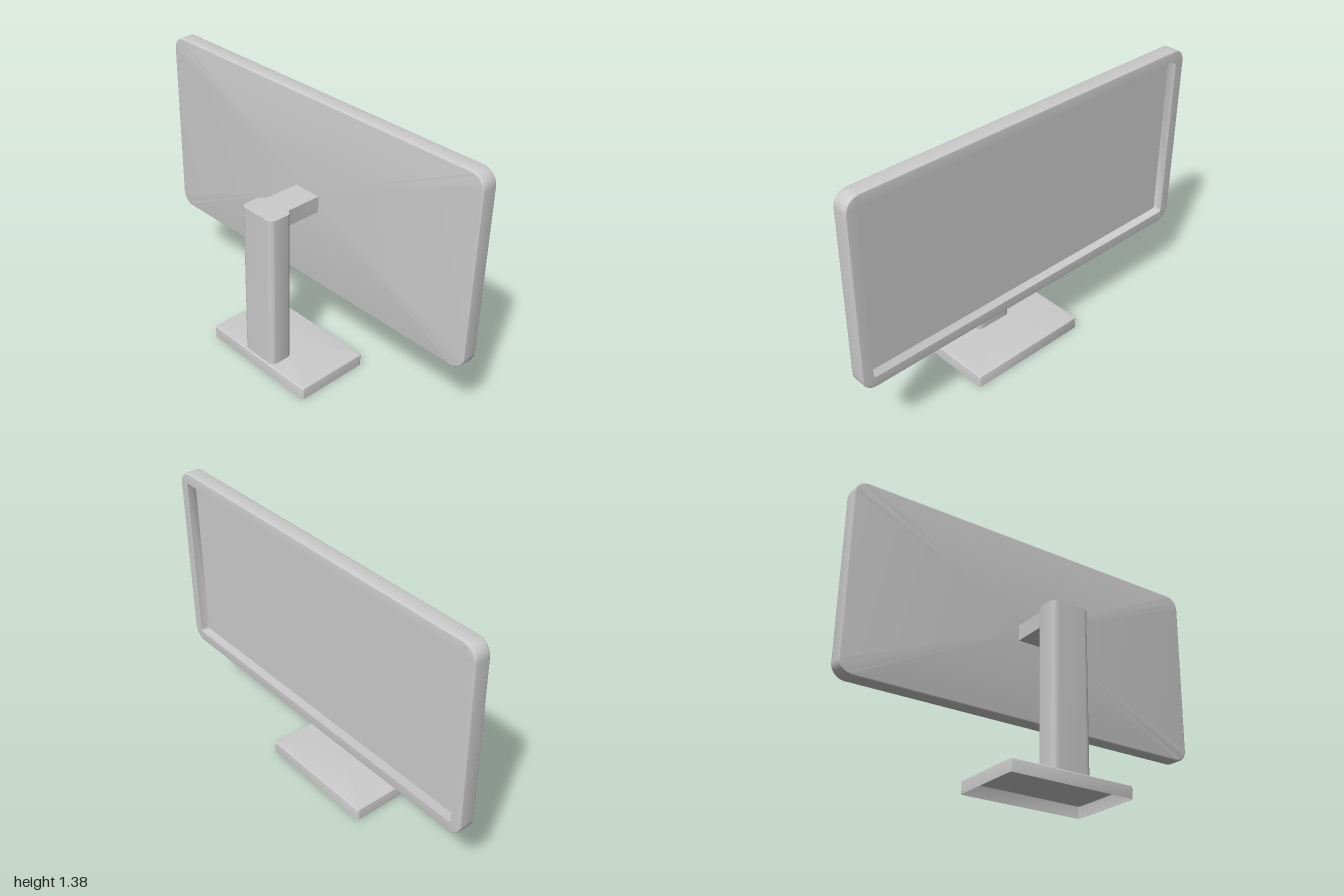
import * as THREE from 'three';
import { toCreasedNormals } from 'three/addons/utils/BufferGeometryUtils.js';

const SEG = 8; // steps per rounded corner

// Rounded rectangle in the xz plane at height y
function ring(w, d, r, y) {
  const pts = [];
  const corners = [[1, 1], [-1, 1], [-1, -1], [1, -1]];
  corners.forEach(([sx, sz], q) => {
    for (let i = 0; i <= SEG; i++) {
      const a = (q + i / SEG) * Math.PI / 2;
      pts.push([sx * (w / 2 - r) + r * Math.cos(a), y, sz * (d / 2 - r) + r * Math.sin(a)]);
    }
  });
  return pts;
}

// Rings rounding an outer edge of radius b, plus one that keeps the face at y flat
function roundedEdge(w, d, r, b, y) {
  const rings = [0, 1, 2, 3].map((k) => {
    const a = k * Math.PI / 6;
    const inset = b * (1 - Math.cos(a));
    return ring(w - 2 * inset, d - 2 * inset, r - inset, y - b * (1 - Math.sin(a)));
  });
  const flat = b + 0.002;
  return [...rings, ring(w - 2 * flat, d - 2 * flat, r - flat, y)];
}

// Skin a stack of rings, closing the last one and optionally the first
function loft(rings, closeStart = true) {
  const n = rings[0].length;
  const pos = rings.flat(2);
  const idx = [];
  for (let k = 0; k < rings.length - 1; k++) {
    for (let i = 0; i < n; i++) {
      const j = (i + 1) % n, a = k * n, b = a + n;
      idx.push(a + i, b + i, a + j, a + j, b + i, b + j);
    }
  }
  const cap = (k, up) => {
    const c = pos.length / 3;
    pos.push(0, rings[k][0][1], 0);
    for (let i = 0; i < n; i++) {
      const p = k * n + i, q = k * n + (i + 1) % n;
      if (up) idx.push(c, q, p);
      else idx.push(c, p, q);
    }
  };
  cap(rings.length - 1, true);
  if (closeStart) cap(0, false);
  const g = new THREE.BufferGeometry();
  g.setAttribute('position', new THREE.Float32BufferAttribute(pos, 3));
  g.setIndex(idx);
  return toCreasedNormals(g, 0.6);
}

export function createModel() {
  const group = new THREE.Group();
  const grey = new THREE.MeshStandardMaterial({ color: 0xcccccc });
  const thin = new THREE.MeshStandardMaterial({ color: 0xcccccc, side: THREE.DoubleSide });
  const add = (name, geometry, x, y, material = grey) => {
    const mesh = new THREE.Mesh(geometry, material);
    mesh.name = name;
    mesh.position.set(x, y, 0);
    group.add(mesh);
    return mesh;
  };

  // Base: a shallow tray turned upside down, open underneath
  add('base', loft([
    ring(0.399, 0.67, 0.01, 0),
    ...roundedEdge(0.399, 0.67, 0.01, 0.006, 0.0645),
  ], false), -0.0065, 0, thin);

  // Upright column with rounded corners, open where it meets the base
  add('column', loft([
    ring(0.128, 0.211, 0.03, 0),
    ring(0.128, 0.211, 0.03, 0.827),
  ], false), -0.133, 0.0645);

  // Arm from column to screen, flared where it meets the column
  const arm = new THREE.Shape();
  arm.moveTo(-0.073, -0.087);
  arm.quadraticCurveTo(-0.066, -0.077, -0.052, -0.077);
  arm.lineTo(0.124, -0.077);
  arm.lineTo(0.124, 0.077);
  arm.lineTo(-0.052, 0.077);
  arm.quadraticCurveTo(-0.066, 0.077, -0.073, 0.087);
  const armGeo = new THREE.ExtrudeGeometry(arm, { depth: 0.083, bevelEnabled: false, curveSegments: 6 });
  armGeo.rotateX(-Math.PI / 2);
  add('arm', toCreasedNormals(armGeo, 0.6), 0, 0.8085);

  // Screen housing with a recess, lofted along y then turned to face +x
  const [h, w, r, b] = [0.979, 2, 0.07, 0.007];
  const housing = add('screenHousing', loft([
    ...roundedEdge(h, w, r, b, 0).reverse().map((pts) => pts.map(([x, y, z]) => [x, -y, z])),
    ...roundedEdge(h, w, r, b, 0.082),
    ring(0.868, 1.89, 0.014, 0.082),
    ring(0.866, 1.888, 0.012, 0.033),
  ]), 0.1235, 0.8885);
  housing.rotation.z = -Math.PI / 2;

  // Display panel seated in the recess
  const display = add('displayPanel', loft([
    ring(0.864, 1.886, 0.011, 0),
    ring(0.864, 1.886, 0.011, 0.004),
  ]), 0.1565, 0.888);
  display.rotation.z = -Math.PI / 2;

  return group;
}
